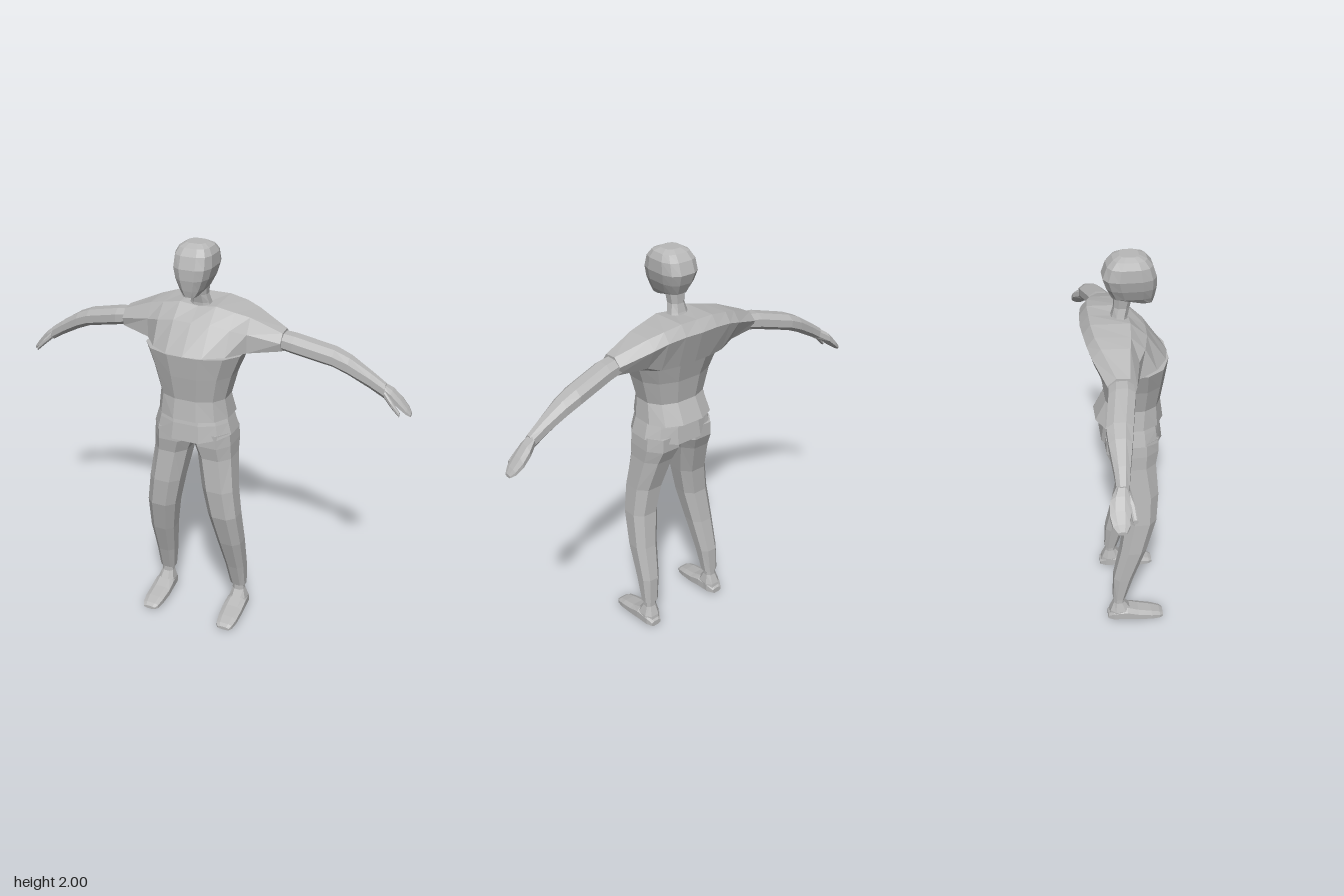
import * as THREE from 'three';

const material = new THREE.MeshStandardMaterial({ color: 0xb8b8b8 });
material.name = 'light grey';

// Skin a list of equal-length rings, cap both ends, and give it flat facets.
function loft(name, rings) {
  const n = rings[0].length, pos = [], idx = [];
  rings.forEach(r => r.forEach(p => pos.push(...p)));
  for (let i = 0; i < rings.length - 1; i++) {
    for (let j = 0; j < n; j++) {
      const a = i * n + j, b = i * n + (j + 1) % n;
      idx.push(a, b, b + n, a, b + n, a + n);
    }
  }
  const cap = (i, flip) => {
    const c = pos.length / 3;
    pos.push(...[0, 1, 2].map(k => rings[i].reduce((s, p) => s + p[k], 0) / n));
    for (let j = 0; j < n; j++) {
      const a = i * n + j, b = i * n + (j + 1) % n;
      idx.push(c, flip ? b : a, flip ? a : b);
    }
  };
  cap(0, true);
  cap(rings.length - 1, false);
  // Turn the faces outward, whichever way the rings run
  const v = k => new THREE.Vector3().fromArray(pos, idx[k] * 3);
  let volume = 0;
  for (let k = 0; k < idx.length; k += 3) volume += v(k).dot(v(k + 1).cross(v(k + 2)));
  if (volume < 0) idx.reverse();
  const indexed = new THREE.BufferGeometry();
  indexed.setAttribute('position', new THREE.Float32BufferAttribute(pos, 3));
  indexed.setIndex(idx);
  const geometry = indexed.toNonIndexed();
  geometry.computeVertexNormals();
  const mesh = new THREE.Mesh(geometry, material);
  mesh.name = name;
  return mesh;
}

// Rounded outline in a box from (a0, b0) to (a1, b1); a lower power is squarer.
function outline(a0, a1, b0, b1, n, power) {
  return Array.from({ length: n }, (_, i) => {
    const t = ((i + 0.5) / n) * Math.PI * 2;
    const f = x => Math.sign(x) * Math.abs(x) ** power;
    const top = f(Math.cos(Math.PI / n));
    const c = f(Math.cos(t)) / top, s = f(Math.sin(t)) / (n % 4 ? 1 : top);
    return [(a0 + a1) / 2 + c * (a1 - a0) / 2, (b0 + b1) / 2 + s * (b1 - b0) / 2];
  });
}

// Level ring: height, x range, z range
const levelRing = (y, x0, x1, z0, z1, n = 8, p = 0.8) =>
  outline(x0, x1, z0, z1, n, p).map(([x, z]) => [x, y, z]);
// Ring across the arm: x, y range, z range
const armRing = (x, y0, y1, z0, z1) =>
  outline(y0, y1, z0, z1, 8, 0.9).map(([y, z]) => [x, y, z]);
// Ring across the foot: z, x range, y range
const footRing = (z, x0, x1, y0, y1) =>
  outline(x0, x1, y0, y1, 8, 0.7).map(([x, y]) => [x, y, z]);
const mirror = (rings, side) => rings.map(r => r.map(([x, y, z]) => [x * side, y, z]));

export function createModel() {
  const model = new THREE.Group();
  model.name = 'standing figure';

  // Head: height, half width, back z, front z
  model.add(loft('head', [
    [1.77, 0.032, 0.06, 0.128], [1.80, 0.055, -0.055, 0.135],
    [1.85, 0.078, -0.08, 0.143], [1.90, 0.091, -0.097, 0.143],
    [1.955, 0.088, -0.078, 0.125], [1.985, 0.072, -0.05, 0.1],
    [2.0, 0.045, -0.02, 0.065],
  ].map(([y, w, b, f]) => levelRing(y, -w, w, b, f, 12, 0.65))));

  model.add(loft('neck', [
    [1.66, 0.06, -0.075, 0.015], [1.71, 0.046, -0.055, 0.015],
    [1.75, 0.036, -0.045, 0.025], [1.82, 0.045, -0.045, 0.04],
  ].map(([y, w, b, f]) => levelRing(y, -w, w, b, f))));

  // Shirt body, from hem to chest
  model.add(loft('shirtBody', [
    [1.18, 0.18, -0.142, 0.18], [1.28, 0.165, -0.092, 0.167],
    [1.4, 0.195, -0.11, 0.185], [1.51, 0.237, -0.142, 0.198],
  ].map(([y, w, b, f]) => levelRing(y, -w, w, b, f, 12, 0.85))));

  // Shoulders and short sleeves: (y, z) outlines at growing x
  const half = [
    [0, [[1.695, 0.02], [1.71, -0.16], [1.66, -0.2], [1.5, -0.15], [1.45, 0], [1.51, 0.2], [1.64, 0.1]]],
    [0.09, [[1.705, 0.02], [1.71, -0.16], [1.66, -0.195], [1.5, -0.145], [1.46, 0], [1.51, 0.185], [1.64, 0.095]]],
    [0.18, [[1.685, 0.01], [1.695, -0.15], [1.65, -0.185], [1.5, -0.13], [1.47, 0], [1.51, 0.13], [1.62, 0.075]]],
    [0.25, [[1.67, 0], [1.675, -0.13], [1.63, -0.17], [1.53, -0.12], [1.49, -0.04], [1.51, 0.04], [1.6, 0.04]]],
    [0.4, [[1.61, -0.02], [1.615, -0.08], [1.58, -0.12], [1.535, -0.1], [1.515, -0.05], [1.53, 0], [1.57, 0.01]]],
  ].map(([x, pts]) => pts.map(([y, z]) => [x, y, z]));
  model.add(loft('shirtShoulders', [...mirror(half.slice(1), -1).reverse(), ...half]));

  // Trouser top, dipping to the crotch in the middle
  model.add(loft('trouserTop', [
    [1.22, 0.165, -0.09, 0.15, 0], [1.16, 0.183, -0.105, 0.166, 0.01],
    [1.1, 0.2, -0.117, 0.176, 0.05], [1.085, 0.17, -0.09, 0.14, 0.05],
  ].map(([y, w, b, f, dip]) => levelRing(y, -w, w, b, f, 12, 0.8)
    .map(([x, py, z]) => [x, py - dip * (1 - Math.abs(x) / w), z]))));

  for (const side of [1, -1]) {
    const label = side > 0 ? 'left' : 'right';
    const add = (name, rings) => model.add(loft(label + name, mirror(rings, side)));

    add('TrouserLeg', [
      [1.11, 0.01, 0.193, -0.1, 0.15], [1.04, 0.002, 0.2, -0.1, 0.15],
      [0.97, 0.028, 0.202, -0.07, 0.138], [0.8, 0.06, 0.222, -0.02, 0.15],
      [0.65, 0.09, 0.24, -0.01, 0.14], [0.47, 0.122, 0.25, -0.038, 0.09],
      [0.29, 0.147, 0.248, -0.077, 0.025], [0.15, 0.165, 0.245, -0.082, -0.018],
    ].map(r => levelRing(...r)));

    add('Ankle', [
      [0.18, 0.178, 0.235, -0.076, -0.024], [0.12, 0.177, 0.238, -0.078, -0.022],
      [0.07, 0.165, 0.255, -0.098, 0.01], [0.03, 0.165, 0.255, -0.105, 0.02],
    ].map(r => levelRing(...r)));

    add('Foot', [
      [-0.11, 0.185, 0.24, 0.015, 0.045], [-0.08, 0.168, 0.255, 0.008, 0.075],
      [-0.01, 0.16, 0.262, 0.008, 0.085], [0.05, 0.157, 0.263, 0.005, 0.063],
      [0.12, 0.162, 0.262, 0, 0.047], [0.165, 0.17, 0.255, 0, 0.033],
      [0.183, 0.182, 0.245, 0.005, 0.022],
    ].map(r => footRing(...r)));

    add('Arm', [
      [0.37, 1.53, 1.607, -0.108, -0.005], [0.45, 1.513, 1.597, -0.12, -0.005],
      [0.63, 1.468, 1.55, -0.15, -0.037], [0.7, 1.438, 1.52, -0.148, -0.05],
      [0.8, 1.385, 1.458, -0.138, -0.072], [0.87, 1.343, 1.41, -0.135, -0.085],
    ].map(r => armRing(...r)));

    add('Hand', [
      [0.85, 1.358, 1.418, -0.132, -0.088], [0.9, 1.33, 1.385, -0.165, -0.085],
      [0.94, 1.298, 1.345, -0.172, -0.088], [0.975, 1.275, 1.305, -0.163, -0.095],
      [0.993, 1.265, 1.28, -0.145, -0.11],
    ].map(r => armRing(...r)));

    add('Thumb', [
      [0.87, 1.35, 1.385, -0.11, -0.08], [0.91, 1.315, 1.345, -0.09, -0.063],
      [0.95, 1.28, 1.3, -0.08, -0.06],
    ].map(r => armRing(...r)));
  }
  return model;
}
